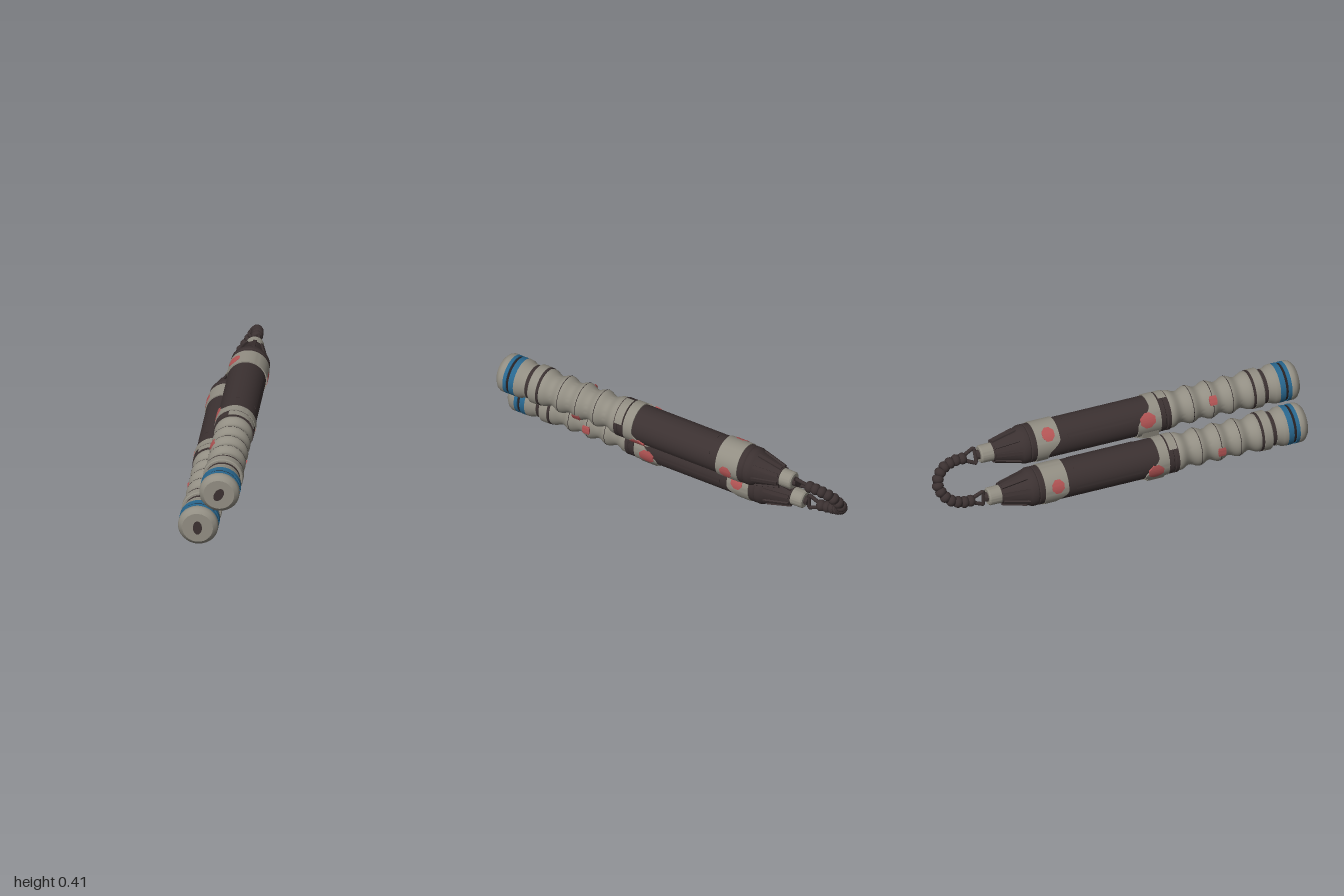
import * as THREE from 'three';
import { toCreasedNormals } from 'three/addons/utils/BufferGeometryUtils.js';

const V2 = (r, z) => new THREE.Vector2(r, z);
const V3 = (x, y, z) => new THREE.Vector3(x, y, z);

export function createModel() {
  const mat = (name, color) => {
    const m = new THREE.MeshStandardMaterial({ color });
    m.name = name;
    return m;
  };
  const grey = mat('warm grey metal', 0x928e83);
  const dark = mat('dark brown', 0x3b3131);
  const seam = mat('seam black', 0x282122);
  const blue = mat('blue', 0x28678f);
  const red = mat('red', 0xb65656);

  const add = (parent, name, geo, material) => {
    const mesh = new THREE.Mesh(geo, material);
    mesh.name = name;
    parent.add(mesh);
    return mesh;
  };

  // Turned part along z; profile is [radius, z] pairs with z rising
  const turned = (parent, name, material, profile, crease = 0.5) => {
    const g = new THREE.LatheGeometry(profile.map(p => V2(...p)), 48);
    g.rotateX(Math.PI / 2);
    return add(parent, name, toCreasedNormals(g, crease), material);
  };

  // Shell wrapped round the z axis whose ends follow lo(angle) and hi(angle); angle 0 is the underside
  const wrapped = (parent, name, material, r, start, length, lo, hi, thick = 0.012) => {
    const g = new THREE.LatheGeometry(
      [V2(r - thick, 0), V2(r, 0), V2(r, 1), V2(r - thick, 1)], length > 6 ? 72 : 16, start, length);
    const p = g.attributes.position;
    for (let i = 0; i < p.count; i++) {
      const a = start + length * Math.floor(i / 4) / (p.count / 4 - 1);
      p.setY(i, THREE.MathUtils.lerp(lo(a), hi(a), p.getY(i)));
    }
    g.rotateX(Math.PI / 2);
    return add(parent, name, toCreasedNormals(g, 0.5), material);
  };

  // Faceted inlay: full length in the middle, shorter toward its sides
  const inlay = (parent, name, r, angle, half, z0, z1, cut) => {
    const trim = a => cut * Math.max(0, Math.abs(a - angle) / half - 0.4) / 0.6;
    wrapped(parent, name, red, r, angle - half, 2 * half, a => z0 + trim(a), a => z1 - trim(a), 0.008);
  };

  const under = a => Math.abs(Math.atan2(Math.sin(a), Math.cos(a))); // 0 below, PI on top
  const step = THREE.MathUtils.smoothstep;

  function buildRod(name) {
    const rod = new THREE.Group();
    rod.name = name;

    // End cap with its blue bands
    turned(rod, 'endCap', grey, [[0.099, 0.948], [0.102, 0.955], [0.102, 0.972], [0.096, 0.985], [0.078, 1.0], [0, 1.0]]);
    turned(rod, 'frontBlueBand', blue, [[0.09, 0.93], [0.102, 0.932], [0.102, 0.95], [0.09, 0.952]]);
    turned(rod, 'bandGroove', seam, [[0.097, 0.915], [0.097, 0.935]]);
    turned(rod, 'rearBlueBand', blue, [[0.09, 0.885], [0.102, 0.888], [0.102, 0.917], [0.09, 0.919]]);
    turned(rod, 'pommelCollar', grey, [[0.08, 0.826], [0.09, 0.828], [0.09, 0.845], [0.1, 0.865], [0.102, 0.888]]);
    turned(rod, 'pommelGroove', dark, [[0.088, 0.80], [0.088, 0.83]]);
    turned(rod, 'pommelRing', grey, [[0.085, 0.755], [0.102, 0.757], [0.102, 0.80], [0.098, 0.805], [0.085, 0.806]]);
    turned(rod, 'toothedRing', dark, [[0.08, 0.742], [0.1, 0.744], [0.1, 0.758]]);
    const oval = new THREE.CircleGeometry(1, 24);
    oval.scale(0.023, 0.037, 1);
    add(rod, 'endInset', oval, dark).position.z = 1.002;

    // Wavy grip with seams on its swells
    const grip = [];
    for (let i = 0; i <= 48; i++) {
      const z = 0.28 + i * 0.47 / 48;
      grip.push([0.089 + 0.009 * Math.cos((z - 0.523) / 0.107 * 2 * Math.PI), z]);
    }
    turned(rod, 'grip', grey, grip, 1);
    for (const z of [0.416, 0.523, 0.63])
      turned(rod, 'gripSeam', seam, [[0.0985, z - 0.0015], [0.0985, z + 0.0015]]);

    // Dark collar with a grey upper section
    turned(rod, 'gripCollar', dark,
      [[0.08, 0.238], [0.102, 0.24], [0.102, 0.262], [0.098, 0.265], [0.098, 0.272], [0.102, 0.275], [0.102, 0.292], [0.08, 0.297]]);
    wrapped(rod, 'collarTopPlate', grey, 0.1032, Math.PI - 0.8, 1.6, () => 0.245, () => 0.288, 0.006);

    // Main body with long raised panels
    turned(rod, 'body', dark, [[0.098, -0.44], [0.098, 0.245]]);
    for (let i = 0; i < 6; i++)
      wrapped(rod, 'bodyPanel', dark, 0.1005, (i + 0.5) * Math.PI / 3 - 0.1, 0.2, () => -0.27, () => 0.09, 0.004);

    // Sleeves: the front one reaches further underneath, the rear one on top
    wrapped(rod, 'frontSleeve', grey, 0.104, 0, Math.PI * 2,
      a => 0.11 + 0.075 * step(under(a), 1.1, 2.1), () => 0.236);
    wrapped(rod, 'rearSleeve', grey, 0.104, 0, Math.PI * 2,
      () => -0.44, a => -0.375 + 0.06 * step(under(a), 0.7, 1.5));
    for (const s of [-1, 1]) {
      inlay(rod, 'frontSleeveInlay', 0.106, s * 1.36, 0.4, 0.122, 0.203, 0.028);
      inlay(rod, 'rearSleeveInlay', 0.106, s * 1.87, 0.36, -0.405, -0.34, 0.02);
      inlay(rod, 'gripInlay', 0.1005, s * Math.PI / 2, 0.25, 0.503, 0.545, 0.004);
    }

    // Foot under the front sleeve
    const foot = new THREE.Shape([V2(-0.068, -0.075), V2(-0.037, -0.113), V2(0.037, -0.113), V2(0.068, -0.075)]);
    const footGeo = new THREE.ExtrudeGeometry(foot, { depth: 0.09, bevelEnabled: false });
    footGeo.translate(0, 0, 0.135);
    add(rod, 'foot', footGeo, grey);
    add(rod, 'footInlay', new THREE.BoxGeometry(0.04, 0.004, 0.05), red).position.set(0, -0.113, 0.178);

    // Ribbed cone and neck
    turned(rod, 'cone', dark,
      [[0.02, -0.66], [0.05, -0.655], [0.083, -0.525], [0.094, -0.51], [0.1, -0.495], [0.1, -0.475], [0.097, -0.47], [0.1, -0.465], [0.1, -0.44]]);
    for (let i = 0; i < 8; i++) {
      const pivot = new THREE.Group();
      pivot.name = 'coneRibPivot';
      pivot.rotation.z = (i + 0.5) * Math.PI / 4;
      const rib = add(pivot, 'coneRib', new THREE.BoxGeometry(0.018, 0.014, 0.135), dark);
      rib.position.set(0, 0.07, -0.583);
      rib.rotation.x = -0.25;
      rod.add(pivot);
    }
    turned(rod, 'neck', grey, [[0, -0.722], [0.04, -0.722], [0.046, -0.715], [0.047, -0.65]]);
    turned(rod, 'neckStud', dark, [[0, -0.742], [0.022, -0.738], [0.025, -0.72]]);

    // Triangular link
    const link = new THREE.CatmullRomCurve3(
      [V3(0, 0.037, -0.742), V3(0, 0.034, -0.756), V3(0, 0.012, -0.802), V3(0, -0.012, -0.802), V3(0, -0.034, -0.756), V3(0, -0.037, -0.742)],
      true, 'catmullrom', 0.2);
    add(rod, 'link', new THREE.TubeGeometry(link, 48, 0.01, 8, true), dark);
    return rod;
  }

  const model = new THREE.Group();
  model.name = 'linkedRods';
  const lower = buildRod('lowerRod');
  lower.position.set(-0.054, 0.115, 0);
  const upper = buildRod('upperRod');
  upper.position.set(0.054, 0.306, 0);
  upper.rotation.z = -Math.PI / 6;
  model.add(lower, upper);

  // Beaded cord joining the two links
  const path = new THREE.CatmullRomCurve3([
    V3(-0.054, 0.115, -0.795), V3(-0.058, 0.122, -0.86), V3(-0.042, 0.15, -0.93), V3(0.004, 0.215, -0.967),
    V3(0.036, 0.275, -0.935), V3(0.052, 0.302, -0.87), V3(0.054, 0.306, -0.795)]);
  const cord = new THREE.Group();
  cord.name = 'cord';
  add(cord, 'cordCore', new THREE.TubeGeometry(path, 64, 0.022, 12), seam);
  const bead = new THREE.LatheGeometry(
    [[0.016, -0.02], [0.025, -0.016], [0.03, -0.005], [0.03, 0.005], [0.025, 0.016], [0.016, 0.02]].map(p => V2(...p)), 20);
  const beads = 13;
  for (let i = 0; i < beads; i++) {
    const t = (i + 0.5) / beads;
    const b = add(cord, 'cordBead', bead, dark);
    b.position.copy(path.getPointAt(t));
    b.quaternion.setFromUnitVectors(V3(0, 1, 0), path.getTangentAt(t));
  }
  model.add(cord);
  return model;
}
